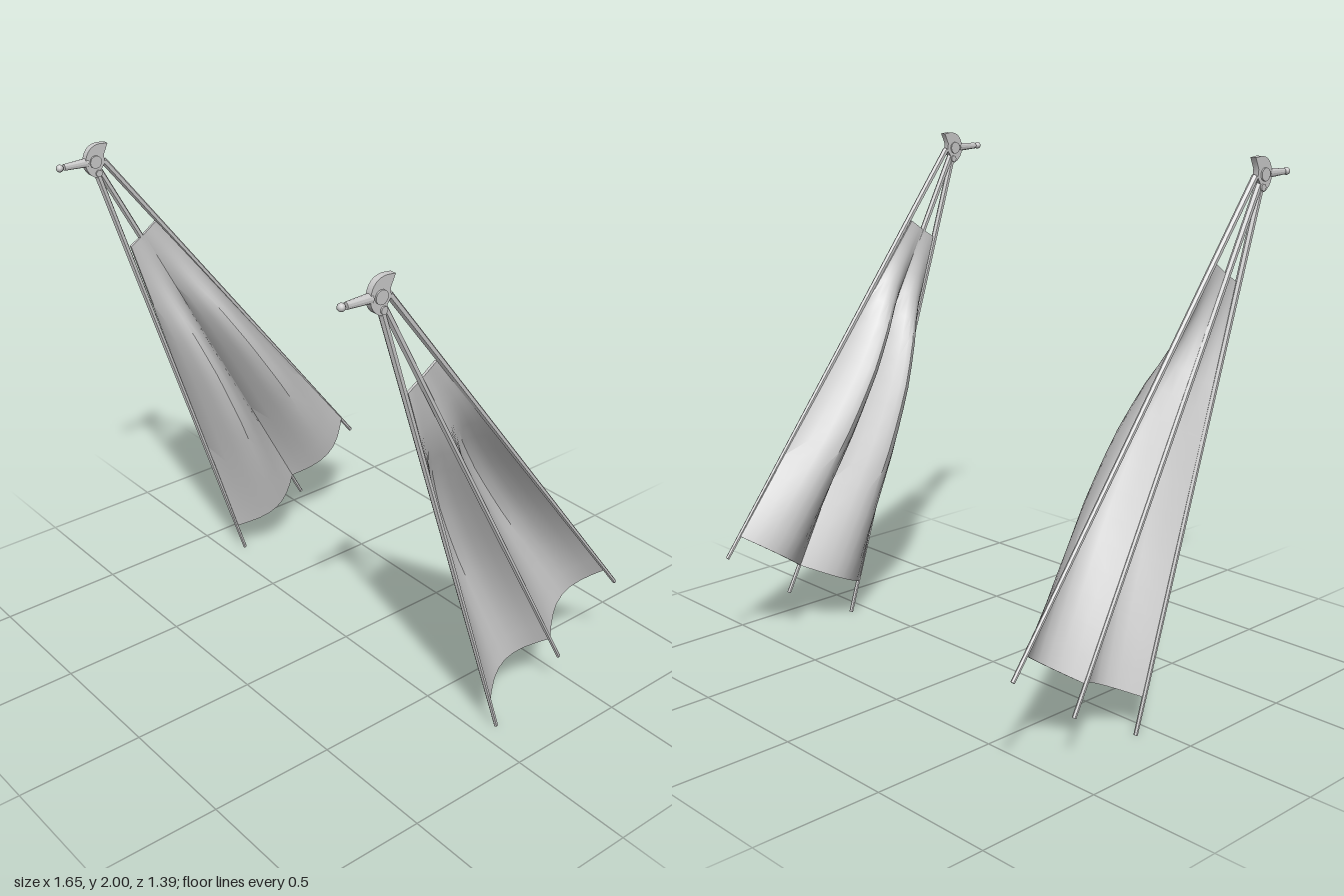
import * as THREE from 'three';
import { toCreasedNormals } from 'three/addons/utils/BufferGeometryUtils.js';

const grey = new THREE.MeshStandardMaterial({ color: 0xcccccc, side: THREE.DoubleSide });
const V = (x, y, z) => new THREE.Vector3(x, y, z);

// Both wings lean slightly the same way from hub to tip
const lean = (y) => 0.006 - 0.0075 * (2 - y);
const place = (side, y, z) => V(side * 0.806 + lean(y), y, z);

// Struts as [z, y]: hub end, tip, top and bottom corner of the membrane
const STRUTS = [
  { name: 'frontStrut', hub: [0.53, 1.885], tip: [-0.08, 0.003], top: [0.412, 1.57], low: [-0.04, 0.135] },
  { name: 'middleStrut', hub: [0.525, 1.905], tip: [-0.4, 0.175], top: [0.352, 1.607], low: [-0.345, 0.282] },
  { name: 'rearStrut', hub: [0.5, 1.93], tip: [-0.69, 0.395], top: [0.295, 1.647], low: [-0.63, 0.475] },
];

// Inward billow of the membrane along its length
const BILLOW = [[0, 0], [0.1, 0.012], [0.2, 0.042], [0.31, 0.098], [0.42, 0.132],
  [0.53, 0.143], [0.64, 0.143], [0.8, 0.12], [1, 0.082]];
function billow(t) {
  let i = 1;
  while (i < BILLOW.length - 1 && t > BILLOW[i][0]) i++;
  const [t0, d0] = BILLOW[i - 1], [t1, d1] = BILLOW[i];
  return THREE.MathUtils.lerp(d0, d1, (t - t0) / (t1 - t0));
}

function mesh(name, geometry) {
  const m = new THREE.Mesh(geometry, grey);
  m.name = name;
  return m;
}

// Tapered rod between two points
function rod(name, a, b, ra, rb, sides) {
  const dir = b.clone().sub(a);
  const m = mesh(name, toCreasedNormals(new THREE.CylinderGeometry(rb, ra, dir.length(), sides), 0.9));
  m.position.copy(a).add(b).multiplyScalar(0.5);
  m.quaternion.setFromUnitVectors(V(0, 1, 0), dir.normalize());
  return m;
}

// Thin billowing panel between two neighbouring struts
function panel(name, side, a, b) {
  const rows = 16, cols = 8, ring = 2 * (cols + 1), thick = 0.01;
  const pos = [], idx = [];
  const tri = (p, q, r) => idx.push(...(side > 0 ? [p, q, r] : [p, r, q]));
  const mix = THREE.MathUtils.lerp;
  for (let j = 0; j <= rows; j++) {
    const t = j / rows;
    for (let i = 0; i < ring; i++) {
      const inner = i > cols;
      const u = (inner ? ring - 1 - i : i) / cols;
      const z = mix(mix(a.top[0], a.low[0], t), mix(b.top[0], b.low[0], t), u);
      const y = mix(mix(a.top[1], a.low[1], t), mix(b.top[1], b.low[1], t), u);
      const p = place(side, y, z);
      p.x -= side * (billow(t) * Math.sin(Math.PI * u) + (inner ? thick : 0));
      pos.push(p.x, p.y, p.z);
    }
  }
  for (let j = 0; j < rows; j++) {
    for (let i = 0; i < ring; i++) {
      const p = j * ring + i, q = j * ring + (i + 1) % ring;
      tri(p, p + ring, q);
      tri(q, p + ring, q + ring);
    }
  }
  // Close the top and bottom edges
  for (let i = 0; i < cols; i++) {
    const k = ring - 1 - i, e = rows * ring;
    tri(i, i + 1, k);
    tri(i + 1, k - 1, k);
    tri(e + i, e + k, e + i + 1);
    tri(e + i + 1, e + k, e + k - 1);
  }
  const g = new THREE.BufferGeometry();
  g.setAttribute('position', new THREE.Float32BufferAttribute(pos, 3));
  g.setIndex(idx);
  return mesh(name, toCreasedNormals(g, 0.6));
}

// Pivot hub with crest, grip and end knob
function hub(side) {
  const g = new THREE.Group();
  g.name = 'hub';
  const x = place(side, 1.93, 0).x;

  const s = new THREE.Shape();
  s.moveTo(0.58, 1.945);
  s.quadraticCurveTo(0.57, 1.998, 0.518, 2.0);
  s.lineTo(0.484, 1.996);
  s.lineTo(0.503, 1.955);
  s.lineTo(0.5, 1.925);
  s.lineTo(0.537, 1.873);
  s.quadraticCurveTo(0.57, 1.885, 0.58, 1.92);
  s.closePath();
  const geo = new THREE.ExtrudeGeometry(s, { depth: 0.024, bevelEnabled: false, curveSegments: 8 });
  geo.translate(0, 0, -0.012).rotateY(-Math.PI / 2);
  const plate = mesh('hubPlate', toCreasedNormals(geo, 0.6));
  plate.position.x = x;

  const pivot = rod('pivotPin', V(x - 0.018, 1.935, 0.54), V(x + 0.018, 1.935, 0.54), 0.024, 0.024, 16);
  const rivet = rod('strutRivet', V(x - 0.018, 1.89, 0.53), V(x + 0.018, 1.89, 0.53), 0.013, 0.013, 12);

  const grip = rod('grip', V(x, 1.936, 0.57), V(x, 1.937, 0.665), 0.017, 0.012, 12);
  const knob = mesh('gripKnob', new THREE.SphereGeometry(0.014, 12, 8));
  knob.position.set(x, 1.937, 0.682);
  g.add(plate, pivot, rivet, grip, knob);
  return g;
}

function wing(side) {
  const g = new THREE.Group();
  g.name = side > 0 ? 'leftWing' : 'rightWing';
  for (const s of STRUTS) {
    g.add(rod(s.name, place(side, s.hub[1], s.hub[0]), place(side, s.tip[1], s.tip[0]), 0.013, 0.008, 6));
  }
  g.add(panel('frontMembrane', side, STRUTS[0], STRUTS[1]));
  g.add(panel('rearMembrane', side, STRUTS[1], STRUTS[2]));
  g.add(hub(side));
  return g;
}

export function createModel() {
  const model = new THREE.Group();
  model.name = 'foldingWings';
  model.add(wing(1), wing(-1));
  return model;
}
